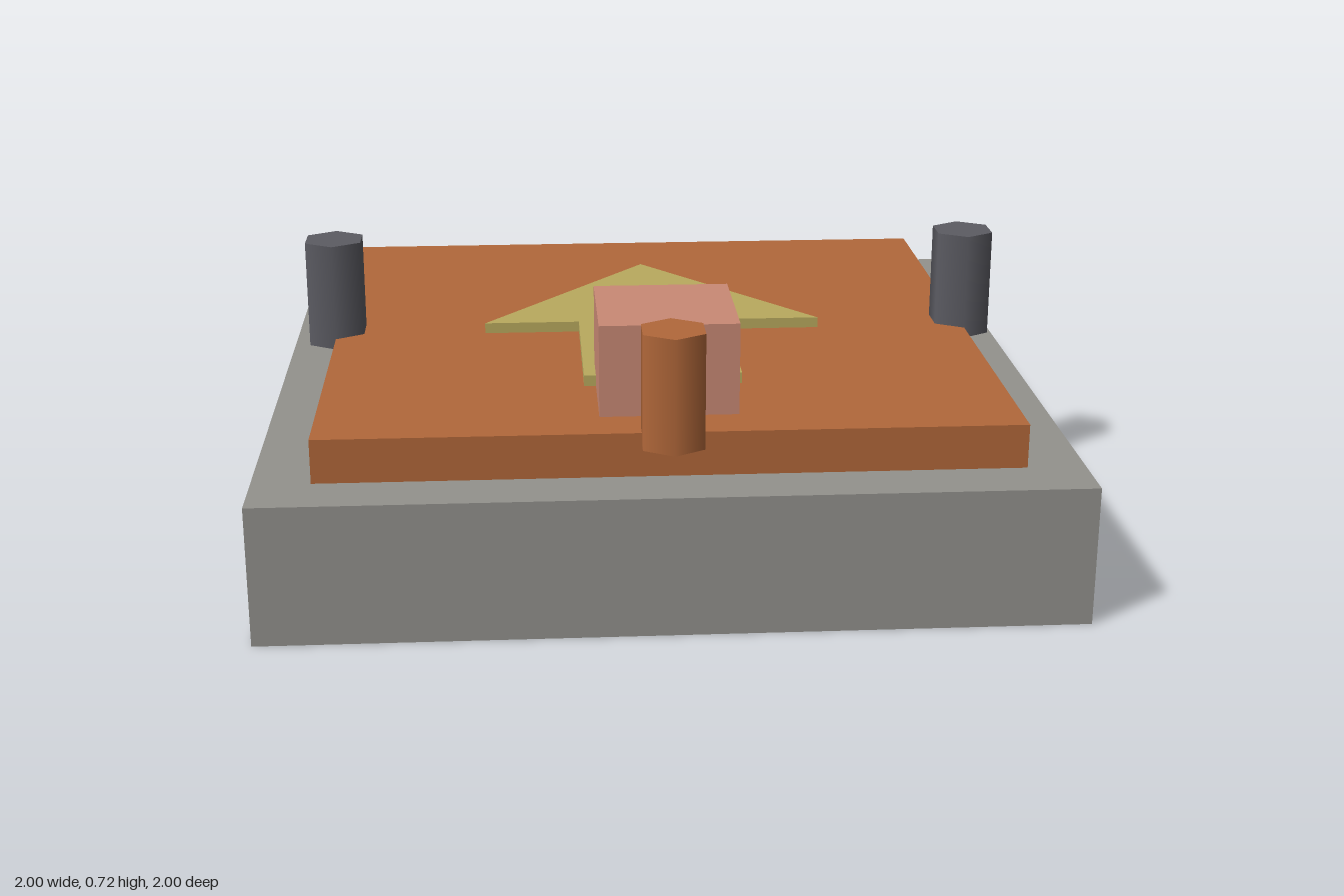
import * as THREE from 'three';

const paint = (name, color) => {
  const m = new THREE.MeshStandardMaterial({ color });
  m.name = name;
  return m;
};

export function createModel() {
  const stone = paint('stone grey', 0x93928d);
  const rust = paint('rust orange', 0xb2683a);
  const straw = paint('straw yellow', 0xb9aa5e);
  const rose = paint('dusty rose', 0xc98975);
  const slate = paint('slate grey', 0x5c5c63);

  const model = new THREE.Group();
  model.name = 'arrowTile';

  const add = (name, geometry, material, x, y, z) => {
    const mesh = new THREE.Mesh(geometry, material);
    mesh.name = name;
    mesh.position.set(x, y, z);
    model.add(mesh);
  };
  // Box standing on height y
  const box = (name, material, w, h, d, y, z = 0) =>
    add(name, new THREE.BoxGeometry(w, h, d), material, 0, y + h / 2, z);

  box('base', stone, 2, 0.35, 2, 0);
  box('plate', rust, 1.714, 0.11, 1.714, 0.35);
  box('block', rose, 0.34, 0.23, 0.34, 0.46, 0.57);

  // Raised arrow pointing to the back
  const outline = [[-0.2, -0.51], [0.2, -0.51], [0.2, -0.055], [0.455, -0.055],
    [0, 0.51], [-0.455, -0.055], [-0.2, -0.055]];
  const shape = new THREE.Shape(outline.map(([x, y]) => new THREE.Vector2(x, y)));
  const arrow = new THREE.ExtrudeGeometry(shape, { depth: 0.028, bevelEnabled: false });
  arrow.rotateX(-Math.PI / 2);
  add('arrow', arrow, straw, 0, 0.46, 0);

  // Six-sided posts at the middle of three edges
  const post = new THREE.CylinderGeometry(0.085, 0.085, 0.286, 6);
  add('leftPost', post, slate, 0.857, 0.574, 0);
  add('rightPost', post, slate, -0.857, 0.574, 0);
  add('frontPost', post, rust, 0, 0.574, 0.857);

  return model;
}
